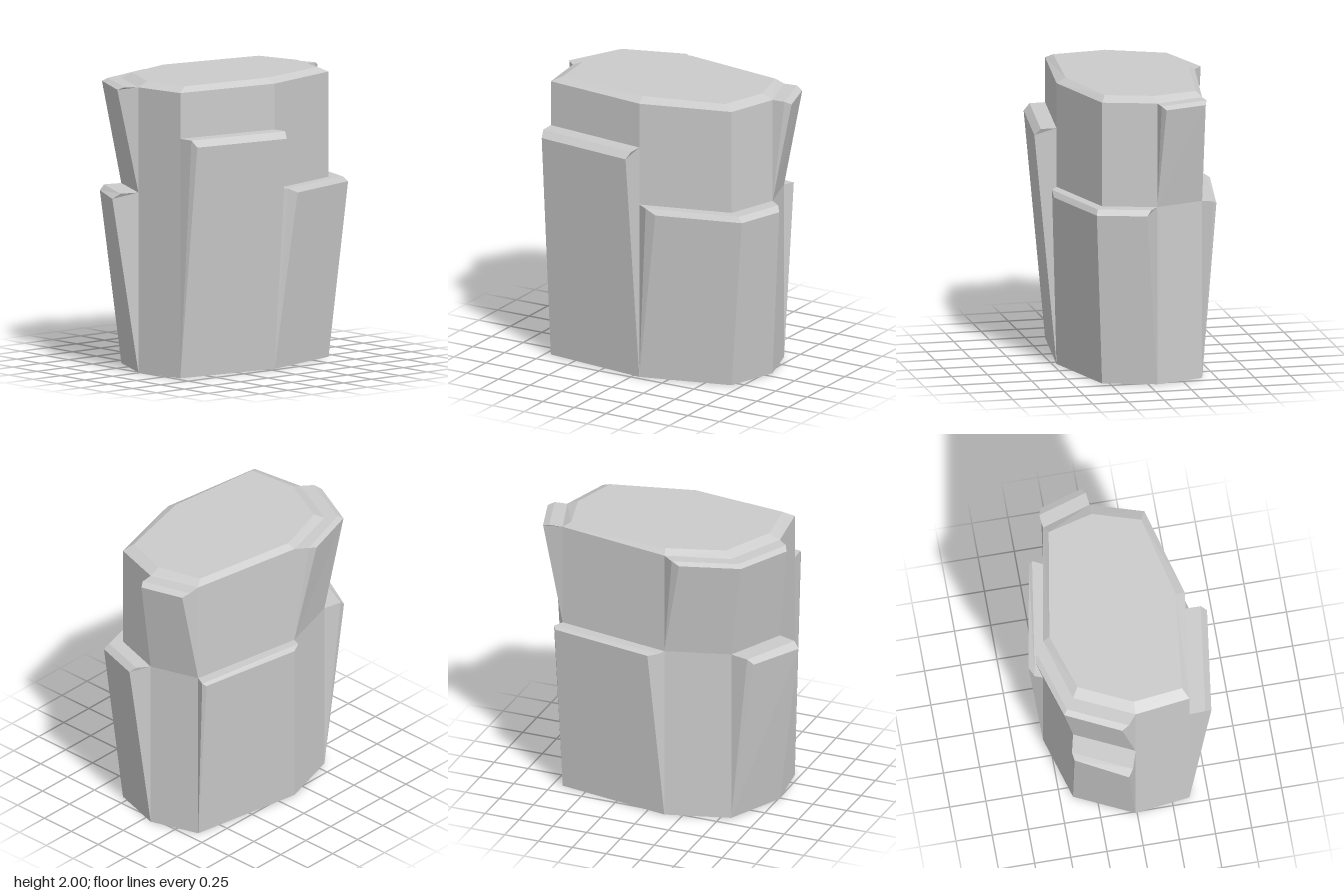
import * as THREE from 'three';

const material = new THREE.MeshStandardMaterial({ color: 0xcccccc, flatShading: true, side: THREE.DoubleSide });

// Corners of the core column as [x, z], going round from the front
const core = [
  [-0.71, 0.37], [0.05, 0.47], [0.68, 0.30], [0.79, -0.06],
  [0.68, -0.40], [-0.13, -0.54], [-0.57, -0.41], [-0.76, -0.01],
];
// The same corners on the flat summit
const summit = [
  [-0.64, 0.33], [0.04, 0.405], [0.61, 0.265], [0.71, -0.06],
  [0.63, -0.37], [-0.12, -0.495], [-0.51, -0.37], [-0.68, -0.01],
];
const SHOULDER = 1.965, TOP = 2, LEDGE = 1.24;

const at = (points, y) => points.map(([x, z]) => [x, y, z]);

// Flat-shaded mesh from outward-facing polygons, each split as a fan
function polyMesh(name, polygons) {
  const pos = [];
  for (const p of polygons)
    for (let i = 1; i < p.length - 1; i++) pos.push(...p[0], ...p[i], ...p[i + 1]);
  const geometry = new THREE.BufferGeometry();
  geometry.setAttribute('position', new THREE.Float32BufferAttribute(pos, 3));
  geometry.computeVertexNormals();
  const mesh = new THREE.Mesh(geometry, material);
  mesh.name = name;
  return mesh;
}

// Quads joining successive rows of points, bottom row first
function loft(rows) {
  const quads = [];
  for (let r = 0; r < rows.length - 1; r++)
    for (let i = 0; i < rows[r].length - 1; i++)
      quads.push([rows[r][i], rows[r][i + 1], rows[r + 1][i + 1], rows[r + 1][i]]);
  return quads;
}

// Slab leaning out from the core: face, chamfer, ledge and two ends
function slab({ name, first, y0, lipY, y1, lip, rim }) {
  const base = core.slice(first, first + lip.length);
  const rows = [at(base, y0), at(lip, lipY), at(rim, y1), at(base, y1)];
  const last = lip.length - 1;
  return polyMesh(name, [
    ...loft(rows),
    rows.map((row) => row[0]),
    rows.map((row) => row[last]).reverse(),
  ]);
}

const slabs = [
  { name: 'frontTallSlab', first: 0, y0: 0, lipY: 1.605, y1: 1.65,
    lip: [[-0.69, 0.525], [0.03, 0.62]], rim: [[-0.705, 0.48], [0.05, 0.58]] },
  { name: 'frontCornerSlab', first: 1, y0: 0, lipY: 1.205, y1: LEDGE,
    lip: [[0.21, 0.525], [0.80, 0.365], [0.90, 0.035]],
    rim: [[0.13, 0.52], [0.765, 0.35], [0.87, 0]] },
  { name: 'upperSideSlab', first: 3, y0: LEDGE, lipY: 1.945, y1: SHOULDER,
    lip: [[0.92, -0.095], [0.83, -0.39]], rim: [[0.88, -0.07], [0.775, -0.41]] },
  { name: 'lowerBackSlab', first: 4, y0: 0, lipY: 1.225, y1: LEDGE,
    lip: [[0.70, -0.495], [-0.04, -0.625]], rim: [[0.715, -0.47], [-0.11, -0.595]] },
  { name: 'upperBackCornerSlab', first: 5, y0: LEDGE, lipY: 1.945, y1: SHOULDER,
    lip: [[-0.27, -0.615], [-0.675, -0.49], [-0.855, -0.12]],
    rim: [[-0.21, -0.60], [-0.645, -0.465], [-0.83, -0.07]] },
  { name: 'lowerSideSlab', first: 6, y0: 0, lipY: 1.205, y1: LEDGE,
    lip: [[-0.745, -0.43], [-0.93, -0.085]], rim: [[-0.70, -0.44], [-0.885, -0.05]] },
];

// Exposed height [from, to] of the core on each side, null where slabs cover it
const exposed = [
  [1.65, SHOULDER], [LEDGE, SHOULDER], [LEDGE, SHOULDER], [0, LEDGE],
  [LEDGE, SHOULDER], [0, LEDGE], null, [0, SHOULDER],
];

export function createModel() {
  const group = new THREE.Group();
  group.name = 'rock';

  // Core walls, open underneath
  const walls = [];
  exposed.forEach((span, i) => {
    if (!span) return;
    const edge = [core[i], core[(i + 1) % core.length]];
    walls.push(...loft(span.map((y) => at(edge, y))));
  });
  group.add(polyMesh('coreWalls', walls));

  // Bevelled summit
  const ring = (points, y) => at([...points, points[0]], y);
  group.add(polyMesh('summit', [
    ...loft([ring(core, SHOULDER), ring(summit, TOP)]),
    at(summit, TOP),
  ]));

  // Leaning slabs
  for (const s of slabs) group.add(slab(s));
  return group;
}
